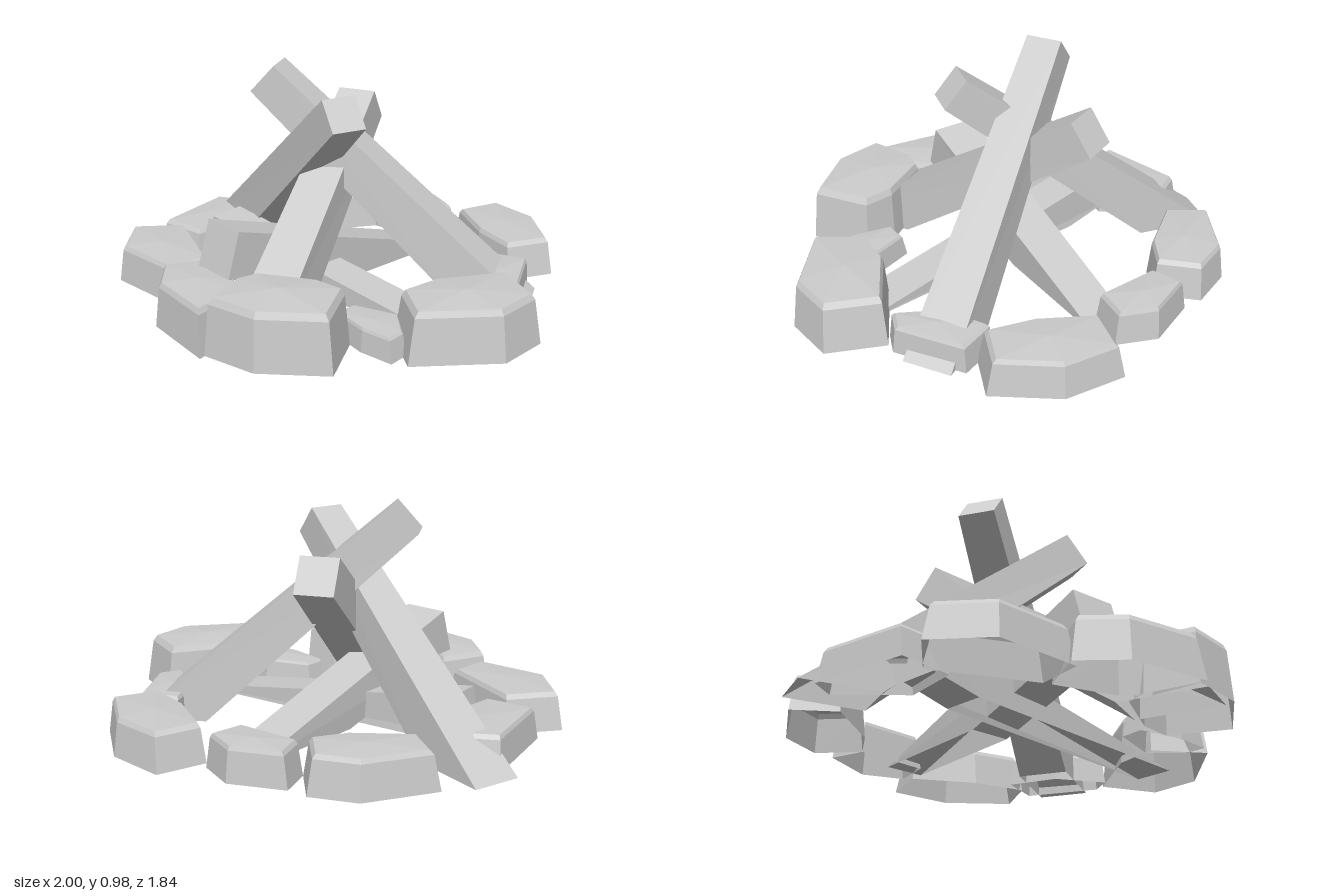
import * as THREE from 'three';

const material = new THREE.MeshStandardMaterial({
  color: 0xcccccc, flatShading: true, side: THREE.DoubleSide });

// Square, tapered log from a foot on the ground to its top; the foot is cut off level at y = 0.
function log(name, foot, top, footWidth, topWidth) {
  const a = new THREE.Vector3(...foot), b = new THREE.Vector3(...top);
  const direction = b.clone().sub(a).normalize();
  const geometry = new THREE.CylinderGeometry(
    topWidth * Math.SQRT1_2, footWidth * Math.SQRT1_2, a.distanceTo(b), 4);
  geometry.rotateY(Math.PI / 4).rotateX(Math.PI / 2);

  // Leave the foot open
  geometry.setIndex(Array.from(geometry.index.array).slice(0, geometry.groups[2].start));
  geometry.clearGroups();

  // Aim the log, then slide the foot corners along it to the ground
  const aim = new THREE.Matrix4().lookAt(b, a, new THREE.Vector3(0, 1, 0));
  aim.setPosition(a.clone().lerp(b, 0.5));
  const position = geometry.attributes.position;
  const v = new THREE.Vector3();
  for (let i = 0; i < position.count; i++) {
    v.fromBufferAttribute(position, i);
    const atFoot = v.z < 0;
    v.applyMatrix4(aim);
    if (atFoot) v.addScaledVector(direction, -v.y / direction.y);
    position.setXYZ(i, v.x, v.y, v.z);
  }
  geometry.computeVertexNormals();
  const mesh = new THREE.Mesh(geometry, material);
  mesh.name = name;
  return mesh;
}

// Faceted stone, open below: a footprint of [x, z] corners rises through
// a leaning wall and a bevel to a slightly domed top.
function stone(name, height, footprint, wallScale = 0.9, rimScale = 0.84) {
  const n = footprint.length;
  const cx = footprint.reduce((s, p) => s + p[0], 0) / n;
  const cz = footprint.reduce((s, p) => s + p[1], 0) / n;
  const levels = [[0, 1], [0.83, wallScale], [0.94, rimScale]];
  const vertices = [], index = [];
  for (const [level, scale] of levels) {
    for (const [x, z] of footprint) {
      vertices.push(cx + (x - cx) * scale, height * level, cz + (z - cz) * scale);
    }
  }
  vertices.push(cx, height, cz);
  const peak = levels.length * n;
  for (let i = 0; i < n; i++) {
    const j = (i + 1) % n;
    for (let k = 0; k < levels.length - 1; k++) {
      const low = k * n, high = low + n;
      index.push(low + i, high + i, high + j, low + i, high + j, low + j);
    }
    index.push(peak - n + i, peak, peak - n + j);
  }
  const indexed = new THREE.BufferGeometry();
  indexed.setAttribute('position', new THREE.Float32BufferAttribute(vertices, 3));
  indexed.setIndex(index);
  const geometry = indexed.toNonIndexed();
  geometry.computeVertexNormals();
  const mesh = new THREE.Mesh(geometry, material);
  mesh.name = name;
  return mesh;
}

export function createModel() {
  const model = new THREE.Group();

  // Leaning and lying firewood
  const logs = new THREE.Group();
  logs.name = 'logs';
  logs.add(
    log('tallLog', [0.64, 0, -0.235], [-0.355, 0.922, 0.025], 0.22, 0.16),
    log('crossingLog', [-0.775, 0, -0.37], [0.12, 0.85, 0.18], 0.215, 0.155),
    log('backLeaningLog', [0.025, 0, 0.69], [-0.12, 0.73, -0.385], 0.215, 0.17),
    log('frontLog', [0.015, 0, -0.4], [-0.275, 0.3, 0.54], 0.18, 0.205),
    log('lowLog', [0.17, 0, 0.115], [-0.65, 0.125, -0.035], 0.18, 0.17)
  );

  // Ring of stones
  const ring = new THREE.Group();
  ring.name = 'stoneRing';
  ring.add(
    stone('backRightStone', 0.178, [[-0.75, -0.62], [-0.51, -0.85], [-0.3, -0.875],
      [-0.2, -0.69], [-0.33, -0.57], [-0.62, -0.46]]),
    stone('backStone', 0.16, [[-0.21, -0.85], [0.04, -0.885], [0.19, -0.77],
      [0.12, -0.615], [-0.2, -0.69]]),
    stone('backLeftStone', 0.175, [[0.33, -0.92], [0.59, -0.82], [0.775, -0.57],
      [0.63, -0.4], [0.42, -0.52], [0.21, -0.73]]),
    stone('leftStone', 0.135, [[0.53, -0.4], [0.72, -0.42], [0.81, -0.1],
      [0.74, -0.015], [0.57, -0.18]], 0.94, 0.86),
    stone('frontLeftStone', 0.235, [[0.79, -0.055], [1, 0.11], [0.95, 0.34],
      [0.63, 0.56], [0.465, 0.37], [0.54, 0.18]]),
    stone('smallStone', 0.11, [[0.25, 0.35], [0.48, 0.335], [0.58, 0.48],
      [0.565, 0.575], [0.41, 0.545], [0.22, 0.45]]),
    stone('frontStone', 0.268, [[-0.08, 0.56], [0.19, 0.485], [0.34, 0.51],
      [0.42, 0.775], [0.14, 0.91], [-0.11, 0.885], [-0.13, 0.65]], 0.93, 0.87),
    stone('frontRightStone', 0.21, [[-0.4, 0.4], [-0.16, 0.56], [-0.09, 0.67],
      [-0.11, 0.915], [-0.44, 0.77], [-0.555, 0.58]]),
    stone('rightStone', 0.175, [[-0.79, 0.08], [-0.43, 0.38], [-0.5, 0.57],
      [-0.87, 0.475], [-1, 0.23]]),
    stone('rearRightStone', 0.155, [[-0.9, -0.35], [-0.78, -0.38], [-0.6, -0.11],
      [-0.69, 0.13], [-0.93, 0.09]])
  );

  model.add(logs, ring);
  return model;
}
